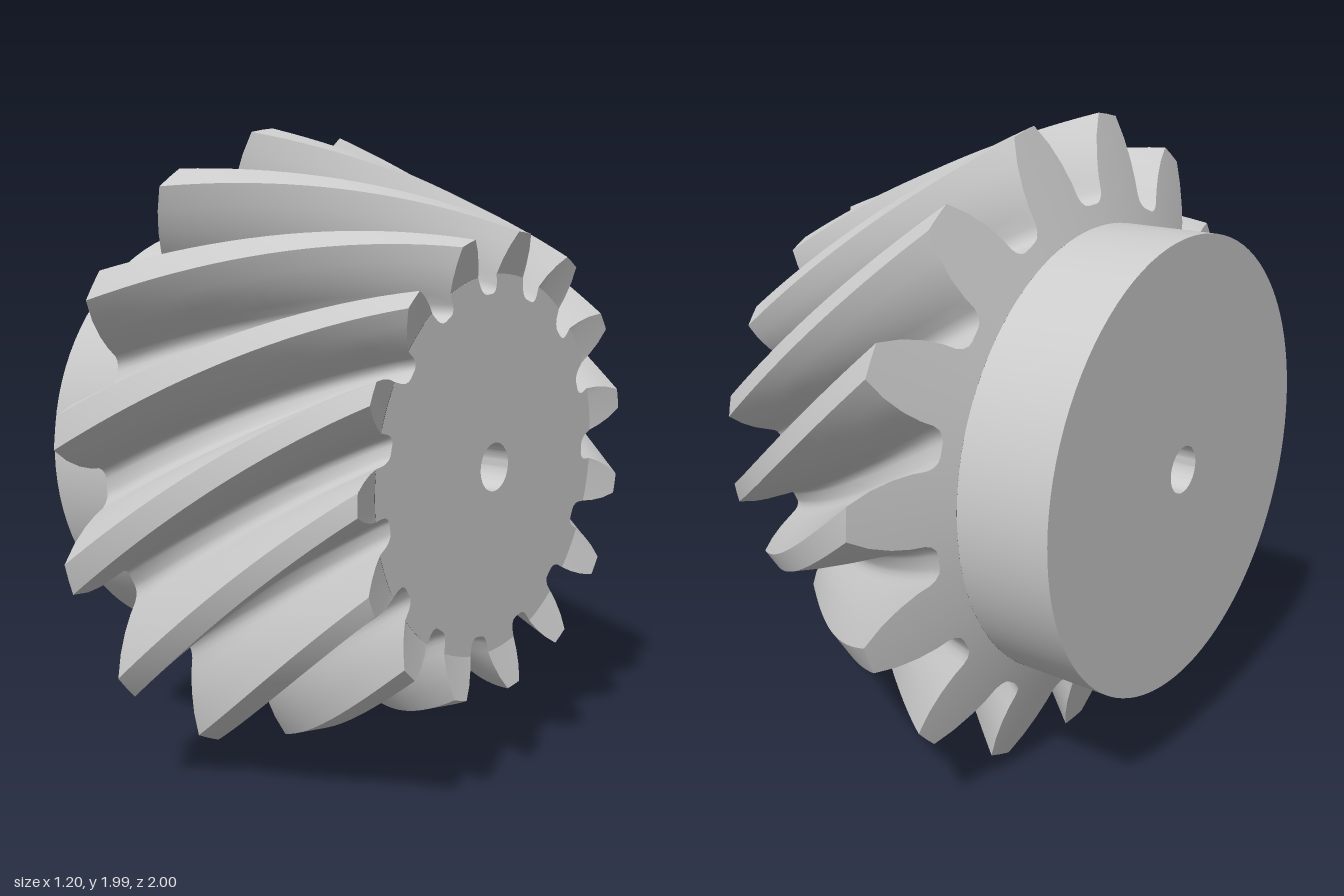
import * as THREE from 'three';
import { toCreasedNormals } from 'three/addons/utils/BufferGeometryUtils.js';

// The gear is built along z (small end at +z), then turned so its axis lies on x.
const TEETH = 15, STEPS = 20;
const APEX = 2.3;               // axial position of the pitch cone apex
const SMALL = 0.68;             // scale of the small end
const FLAT = 0.56;              // axial position (and radius) of the flat front disc
const BORE = 0.072, HUB = 0.69;
const PHASE = 3.7, TWIST = 40;  // degrees

// Half tooth at the large end: [radius, angle from tooth centre in degrees]
const HALF = [[1, 0], [1, 2.7], [0.94, 4.7], [0.88, 6.2], [0.824, 7.2], [0.785, 7.6],
  [0.767, 8.2], [0.754, 9.3], [0.75, 10.5], [0.75, 12]];

const material = new THREE.MeshStandardMaterial({ color: 0xcccccc });

// Axial position on the large-end back cone
const backCone = r => -0.2 - (1 - r) * 0.34;

// Scale at which a profile point meets the front cone or the flat disc
const endScale = r => Math.min(SMALL, (APEX - FLAT) / (APEX - backCone(r)));

// Point of the large-end section shrunk toward the apex and spiralled
function place(r, deg, s) {
  const a = THREE.MathUtils.degToRad(deg + PHASE - TWIST * Math.log(s) / Math.log(SMALL));
  return [r * s * Math.cos(a), r * s * Math.sin(a), APEX - s * (APEX - backCone(r))];
}

// Full counter-clockwise outline of all teeth
function outline() {
  const tooth = [...HALF.slice(1).reverse().map(([r, a]) => [r, -a]), ...HALF.slice(0, -1)];
  const points = [];
  for (let i = 0; i < TEETH; i++) {
    for (const [r, a] of tooth) points.push([r, a + i * 360 / TEETH]);
  }
  return points;
}

// Skin over closed rows of points
function skin(rows, crease) {
  const n = rows[0].length, index = [];
  for (let j = 0; j < rows.length - 1; j++) {
    for (let i = 0; i < n; i++) {
      const k = (i + 1) % n;
      const a = j * n + i, b = j * n + k, c = b + n, d = a + n;
      index.push(a, b, c, a, c, d);
    }
  }
  const geometry = new THREE.BufferGeometry();
  geometry.setAttribute('position', new THREE.Float32BufferAttribute(rows.flat(2), 3));
  geometry.setIndex(index);
  geometry.computeVertexNormals();
  return toCreasedNormals(geometry, crease);
}

export function createModel() {
  const model = new THREE.Group();
  model.name = 'spiralBevelGear';
  const add = (name, geometry) => {
    const mesh = new THREE.Mesh(geometry, material);
    mesh.name = name;
    model.add(mesh);
  };
  const points = outline();

  // Spiral teeth and the valleys between them
  const rows = [];
  for (let j = 0; j <= STEPS; j++) {
    rows.push(points.map(([r, a]) => place(r, a, 1 + (endScale(r) - 1) * j / STEPS)));
  }
  add('spiralTeeth', skin(rows, 0.7));

  // Conical back face, from the hub out to the tooth outline
  add('backFace', skin([points.map(([, a]) => place(HUB, a, 1)), rows[0]], 0.5));

  // Conical front ends of the teeth
  const inner = points.map(([r, a]) => place(Math.min(r, 0.824), a, endScale(r)));
  add('toothFrontEnds', skin([rows[STEPS], inner], 0.5));

  // Flat front disc with the bore hole
  const disc = new THREE.Shape(inner.map(([x, y]) => new THREE.Vector2(x, y)));
  disc.holes.push(new THREE.Path().absarc(0, 0, BORE, 0, Math.PI * 2, true));
  add('frontDisc', new THREE.ShapeGeometry(disc, 24).translate(0, 0, FLAT));

  // Hub cylinder with the bore through it
  const profile = [[BORE, FLAT], [BORE, -0.6], [HUB, -0.6], [HUB, backCone(HUB)]]
    .map(([r, y]) => new THREE.Vector2(r, y));
  const hub = new THREE.LatheGeometry(profile, 96).rotateX(Math.PI / 2);
  add('hub', toCreasedNormals(hub, 0.6));

  model.rotation.y = Math.PI / 2;
  model.position.y = 1;
  const group = new THREE.Group();
  group.name = 'gear';
  group.add(model);
  return group;
}
